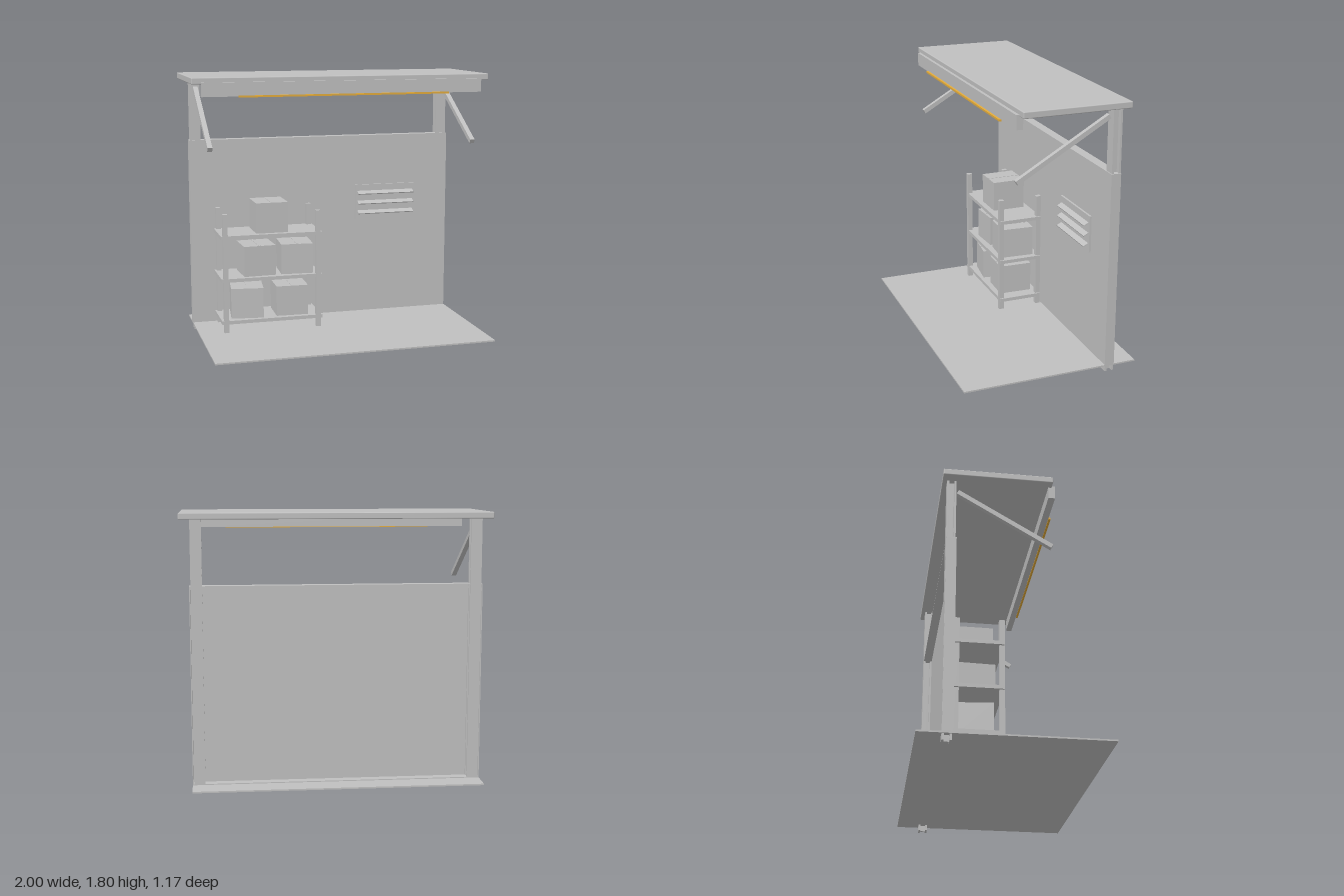
import * as THREE from 'three';
import { RoundedBoxGeometry } from 'three/addons/geometries/RoundedBoxGeometry.js';

export function createModel() {
  const model = new THREE.Group();
  model.name = 'storageShelter';
  const grey = new THREE.MeshStandardMaterial({ color: 0xc0c0c0 });
  grey.name = 'grey';
  const amber = new THREE.MeshStandardMaterial({ color: 0xe5ad3c });
  amber.name = 'amber';

  const add = (name, geometry, parent = model, material = grey) => {
    const mesh = new THREE.Mesh(geometry, material);
    mesh.name = name;
    parent.add(mesh);
    return mesh;
  };
  // box given by its extents on each axis
  const box = (name, [x0, x1], [y0, y1], [z0, z1], parent, material) => {
    const mesh = add(name, new THREE.BoxGeometry(x1 - x0, y1 - y0, z1 - z0), parent, material);
    mesh.position.set((x0 + x1) / 2, (y0 + y1) / 2, (z0 + z1) / 2);
    return mesh;
  };
  const group = (name) => {
    const g = new THREE.Group();
    g.name = name;
    model.add(g);
    return g;
  };

  // floor, roof, front fascia and its light strip
  box('floor', [-0.94, 0.94], [0.04, 0.05], [-0.59, 0.585]);
  add('roof', new RoundedBoxGeometry(2, 0.042, 0.7, 2, 0.006)).position.set(0, 1.779, -0.12);
  box('fascia', [-0.94, 0.94], [1.68, 1.77], [0.207, 0.25]);
  box('lightStrip', [-0.705, 0.705], [1.674, 1.686], [0.25, 0.264], model, amber);

  // back wall: a panel with lips folded towards the back
  const wall = group('backWall');
  box('wallPanel', [-0.94, 0.94], [0.05, 1.34], [-0.381, -0.375], wall);
  box('topLip', [-0.94, 0.94], [1.334, 1.34], [-0.44, -0.381], wall);
  box('bottomLip', [-0.94, 0.94], [0.05, 0.056], [-0.44, -0.381], wall);

  const beam = new THREE.Vector2(0.6, -0.352); // arm slope in z and y
  for (const side of [-1, 1]) {
    box('sideLip', side < 0 ? [-0.94, -0.934] : [0.934, 0.94], [0.056, 1.334], [-0.44, -0.381], wall);

    // I-beam post
    const post = group('post');
    post.position.x = side * 0.895;
    box('frontFlange', [-0.036, 0.036], [0, 1.765], [-0.394, -0.381], post);
    box('backFlange', [-0.036, 0.036], [0, 1.765], [-0.441, -0.428], post);
    box('web', [-0.007, 0.007], [0, 1.765], [-0.428, -0.394], post);

    // sloping arm
    const arm = add('arm', new THREE.BoxGeometry(0.032, 0.03, beam.length()));
    arm.position.set(side * 0.892, 1.52, -0.07);
    arm.rotation.x = Math.atan2(-beam.y, beam.x);
  }

  // shelf unit
  const shelf = group('shelfUnit');
  for (const x of [-0.755, -0.11])
    for (const z of [-0.069, -0.348])
      box('shelfPost', [x - 0.016, x + 0.016], [0.05, 0.87], [z - 0.017, z + 0.017], shelf);
  for (const y of [0.12, 0.413, 0.709])
    box('shelfBoard', [-0.785, -0.083], [y - 0.012, y + 0.012], [-0.361, -0.056], shelf);

  // cartons: x, base y, turn
  const cartons = [
    [-0.425, 0.721, 0.01], [-0.516, 0.425, 0.05], [-0.243, 0.425, -0.06],
    [-0.588, 0.132, -0.13], [-0.283, 0.132, -0.03],
  ];
  for (const [x, y, turn] of cartons) {
    const carton = group('carton');
    carton.position.set(x, y, -0.21);
    carton.rotation.y = turn;
    box('cartonBody', [-0.111, 0.111], [0, 0.209], [-0.115, 0.115], carton);
    box('topSeam', [-0.008, 0.008], [0.209, 0.211], [-0.115, 0.115], carton);
  }

  // louvred vent on the wall
  const vent = group('vent');
  box('ventPlate', [0.245, 0.69], [0.738, 0.985], [-0.375, -0.361], vent);
  for (const y of [0.787, 0.858, 0.929]) {
    const slat = add('ventSlat', new THREE.BoxGeometry(0.415, 0.007, 0.04), vent);
    slat.position.set(0.4675, y, -0.347);
    slat.rotation.x = 0.5;
  }
  return model;
}
